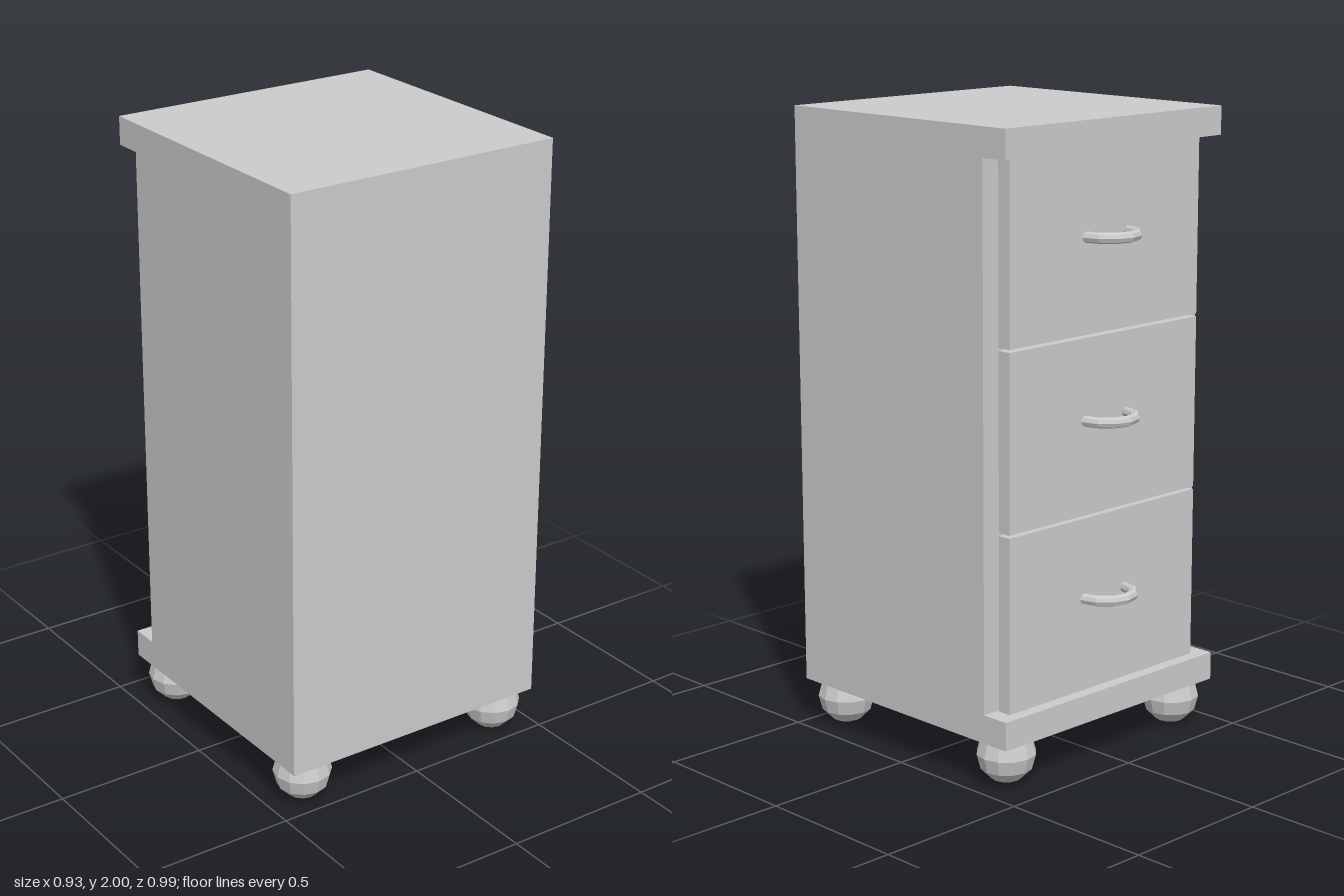
import * as THREE from 'three';

const material = new THREE.MeshStandardMaterial({ color: 0xcccccc, flatShading: true });

function add(parent, name, geometry, x = 0, y = 0, z = 0) {
  const mesh = new THREE.Mesh(geometry, material);
  mesh.name = name;
  mesh.position.set(x, y, z);
  parent.add(mesh);
  return mesh;
}

// Box given by its limits on each axis
function addBox(parent, name, [x0, x1], [y0, y1], [z0, z1]) {
  return add(parent, name, new THREE.BoxGeometry(x1 - x0, y1 - y0, z1 - z0),
    (x0 + x1) / 2, (y0 + y1) / 2, (z0 + z1) / 2);
}

// Drawer opening towards -z: front panel, lower open tray behind it, bow handle
function createDrawer(bottom) {
  const drawer = new THREE.Group();
  drawer.name = 'drawer';
  drawer.position.y = bottom;
  addBox(drawer, 'drawerFront', [-0.41, 0.41], [0, 0.55], [-0.39, -0.345]);
  addBox(drawer, 'drawerBase', [-0.385, 0.385], [0.005, 0.03], [-0.345, 0.4]);
  addBox(drawer, 'drawerBack', [-0.385, 0.385], [0.03, 0.46], [0.38, 0.4]);
  for (const s of [-1, 1]) {
    addBox(drawer, 'drawerSide', [s * 0.375 - 0.01, s * 0.375 + 0.01], [0.03, 0.46], [-0.345, 0.38]);
  }
  const handle = add(drawer, 'handle', new THREE.TorusGeometry(0.09, 0.017, 8, 6, Math.PI), 0, 0.295, -0.39);
  handle.rotation.x = -Math.PI / 2;
  return drawer;
}

export function createModel() {
  const cabinet = new THREE.Group();
  cabinet.name = 'drawerCabinet';

  // Carcass: projecting top and base slabs, side panels and closed panel
  addBox(cabinet, 'topSlab', [-0.465, 0.465], [1.91, 2], [-0.43, 0.495]);
  addBox(cabinet, 'baseSlab', [-0.465, 0.465], [0.145, 0.235], [-0.43, 0.495]);
  addBox(cabinet, 'sidePanel', [0.395, 0.465], [0.235, 1.91], [-0.337, 0.495]);
  addBox(cabinet, 'sidePanel', [-0.465, -0.395], [0.235, 1.91], [-0.337, 0.495]);
  addBox(cabinet, 'closedPanel', [-0.395, 0.395], [0.235, 1.91], [0.425, 0.495]);

  // Three stacked drawers with narrow gaps
  for (let i = 0; i < 3; i++) cabinet.add(createDrawer(0.235 + i * 0.559));

  // Ball feet
  const ball = new THREE.SphereGeometry(0.093, 12, 6);
  for (const x of [-0.373, 0.373]) {
    for (const z of [-0.338, 0.403]) add(cabinet, 'ballFoot', ball, x, 0.094, z);
  }
  return cabinet;
}
